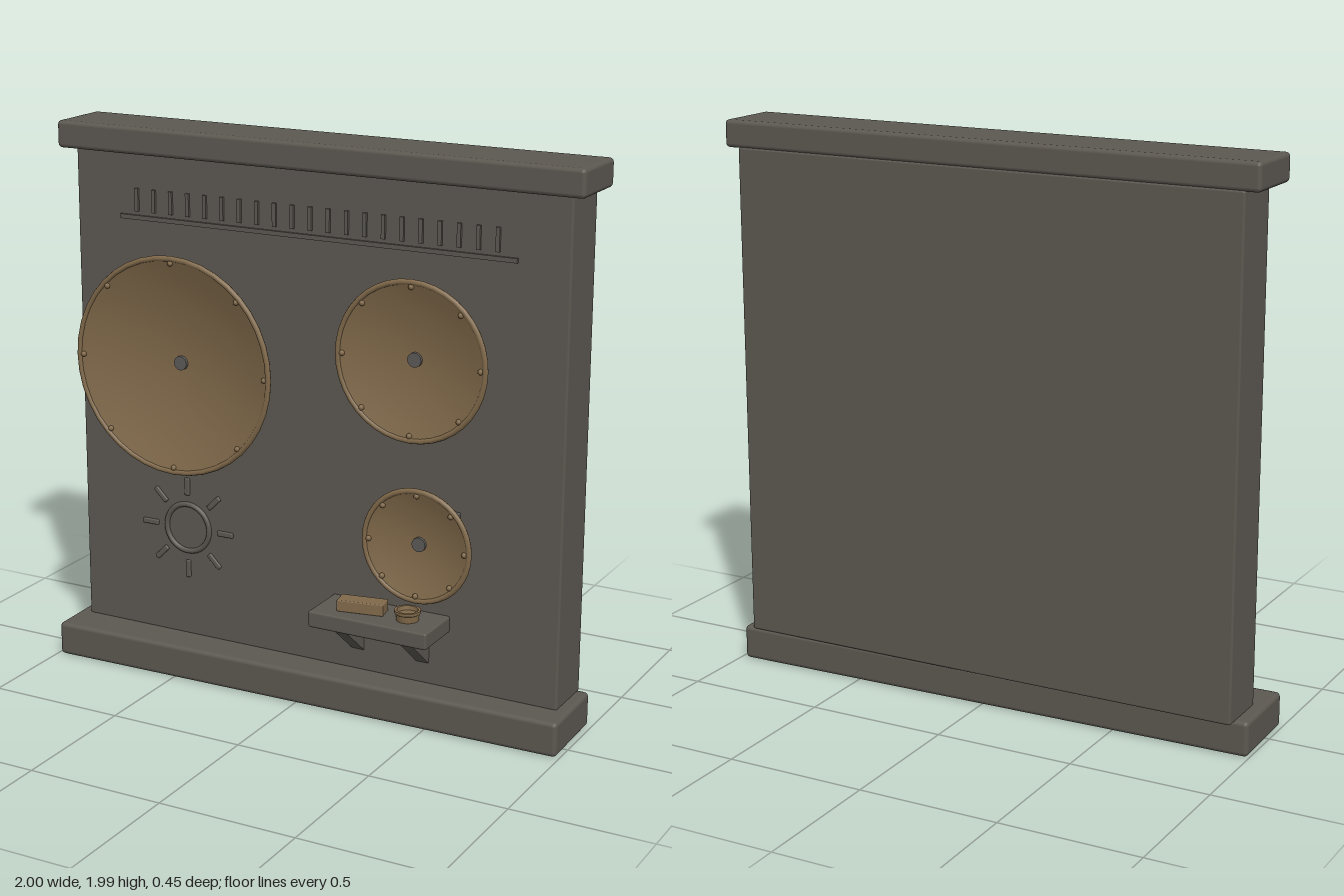
import * as THREE from 'three';
import { toCreasedNormals } from 'three/addons/utils/BufferGeometryUtils.js';
import { RoundedBoxGeometry } from 'three/addons/geometries/RoundedBoxGeometry.js';

const material = (name, color) => {
  const m = new THREE.MeshStandardMaterial({ color });
  m.name = name;
  return m;
};

export function createModel() {
  const stone = material('stone', 0x5c5851);
  const bronze = material('bronze', 0x80694a);
  const iron = material('iron', 0x5b5a59);
  const model = new THREE.Group();
  model.name = 'wallWithDishes';
  const WALL = -0.022; // front face of the wall

  const add = (parent, name, geo, mat, x = 0, y = 0, z = 0) => {
    const mesh = new THREE.Mesh(geo, mat);
    mesh.name = name;
    mesh.position.set(x, y, z);
    parent.add(mesh);
    return mesh;
  };
  const block = (w, h, d, r) => new RoundedBoxGeometry(w, h, d, 2, r);
  // cylinder along z, from z0 to z1
  const rod = (r, z0, z1, sides = 16) =>
    new THREE.CylinderGeometry(r, r, z1 - z0, sides).rotateX(Math.PI / 2).translate(0, 0, (z0 + z1) / 2);

  // Wall slab, cap and slightly turned base
  add(model, 'wall', block(1.894, 1.775, 0.203, 0.008), stone, -0.002, 1.008, -0.1235);
  add(model, 'cap', block(2, 0.097, 0.25, 0.015), stone, 0, 1.9395, -0.1);
  add(model, 'base', block(1.98, 0.125, 0.31, 0.016), stone, -0.003, 0.0625, -0.05).rotation.y = 0.02;

  // Concave dishes on wall mounts
  const dish = (name, x, y, radius, back, depth) => {
    const g = new THREE.Group();
    g.name = name;
    g.position.set(x, y, 0);
    model.add(g);

    // bowl profile: out along the back, in along the front
    const profile = [];
    const edge = radius - 0.01;
    const steps = 6;
    const thick = 0.01;
    for (let i = 0; i <= steps; i++) {
      const t = i / steps;
      profile.push(new THREE.Vector2(edge * t, depth * t * t));
    }
    for (let i = steps; i >= 0; i--) {
      const t = i / steps;
      profile.push(new THREE.Vector2(edge * t, depth * t * t + thick));
    }
    const bowl = new THREE.LatheGeometry(profile, 40).rotateX(Math.PI / 2);
    add(g, 'bowl', toCreasedNormals(bowl, 0.6), bronze, 0, 0, back);

    const rimZ = back + depth + 0.004;
    add(g, 'rim', new THREE.TorusGeometry(radius - 0.01, 0.01, 8, 40), bronze, 0, 0, rimZ);
    for (let i = 0; i < 8; i++) {
      const a = (i * Math.PI) / 4;
      const r = radius - 0.026;
      add(g, 'rimStud', new THREE.SphereGeometry(0.01, 10, 8), bronze, r * Math.cos(a), r * Math.sin(a), rimZ + 0.002);
    }

    // hub, spindle and bolted plate
    add(g, 'hub', rod(0.062, 0.09, back + 0.006, 16), bronze);
    add(g, 'spindle', rod(0.025, WALL, back + 0.022), iron);
    add(g, 'mountPlate', block(0.145, 0.145, 0.022, 0.004), iron, 0, 0, WALL + 0.011);
    for (const sx of [-1, 1]) {
      for (const sy of [-1, 1]) {
        add(g, 'plateBolt', rod(0.012, 0, 0.009, 8), iron, sx * 0.05, sy * 0.05, 0);
      }
    }
  };
  dish('largeDish', -0.42, 1.207, 0.39, 0.135, 0.07);
  dish('mediumDish', 0.478, 1.335, 0.277, 0.135, 0.045);
  dish('smallDish', 0.503, 0.7, 0.203, 0.135, 0.034);

  // Row of plain notch marks above a ruled ledge
  const marks = new THREE.Group();
  marks.name = 'notchBand';
  model.add(marks);
  add(marks, 'ledge', new THREE.BoxGeometry(1.525, 0.016, 0.009), stone, -0.003, 1.662, WALL + 0.0045);
  for (let i = 0; i < 21; i++) {
    add(marks, 'notch', new THREE.BoxGeometry(0.014, 0.082, 0.009), stone, -0.697 + i * 0.0693, 1.725, WALL + 0.0045);
  }

  // Sun relief: ring and eight rays
  const sun = new THREE.Group();
  sun.name = 'sunRelief';
  sun.position.set(-0.51, 0.535, WALL);
  model.add(sun);
  add(sun, 'sunRing', new THREE.TorusGeometry(0.089, 0.01, 8, 32), stone);
  for (let i = 0; i < 8; i++) {
    const a = (i * Math.PI) / 4;
    const ray = add(sun, 'sunRay', block(0.066, 0.02, 0.016, 0.005), stone, 0.157 * Math.cos(a), 0.157 * Math.sin(a), 0);
    ray.rotation.z = a;
  }

  // Shelf on two triangular brackets
  const shelf = new THREE.Group();
  shelf.name = 'shelf';
  model.add(shelf);
  add(shelf, 'shelfBoard', block(0.453, 0.06, 0.195, 0.008), stone, 0.315, 0.36, 0.0705);
  const triangle = new THREE.Shape([
    new THREE.Vector2(0, 0.2), new THREE.Vector2(0.165, 0.335), new THREE.Vector2(0, 0.335),
  ]);
  for (const x of [0.187, 0.44]) {
    const geo = new THREE.ExtrudeGeometry(triangle, { depth: 0.048, bevelEnabled: false });
    geo.translate(0, 0, -0.024).rotateY(-Math.PI / 2);
    add(shelf, 'bracket', geo, stone, x, 0, WALL);
  }

  // Bronze block and small cup on the shelf
  add(shelf, 'smallBlock', block(0.168, 0.042, 0.066, 0.004), bronze, 0.253, 0.41, 0.075).rotation.y = 0.18;
  const cup = [[0, 0], [0.039, 0], [0.042, 0.024], [0.046, 0.027], [0.046, 0.037], [0.037, 0.037], [0.034, 0.022], [0, 0.022]];
  const cupGeo = new THREE.LatheGeometry(cup.map(([r, h]) => new THREE.Vector2(r, h)), 24);
  add(shelf, 'cup', toCreasedNormals(cupGeo, 0.5), bronze, 0.427, 0.39, 0.075);

  return model;
}
